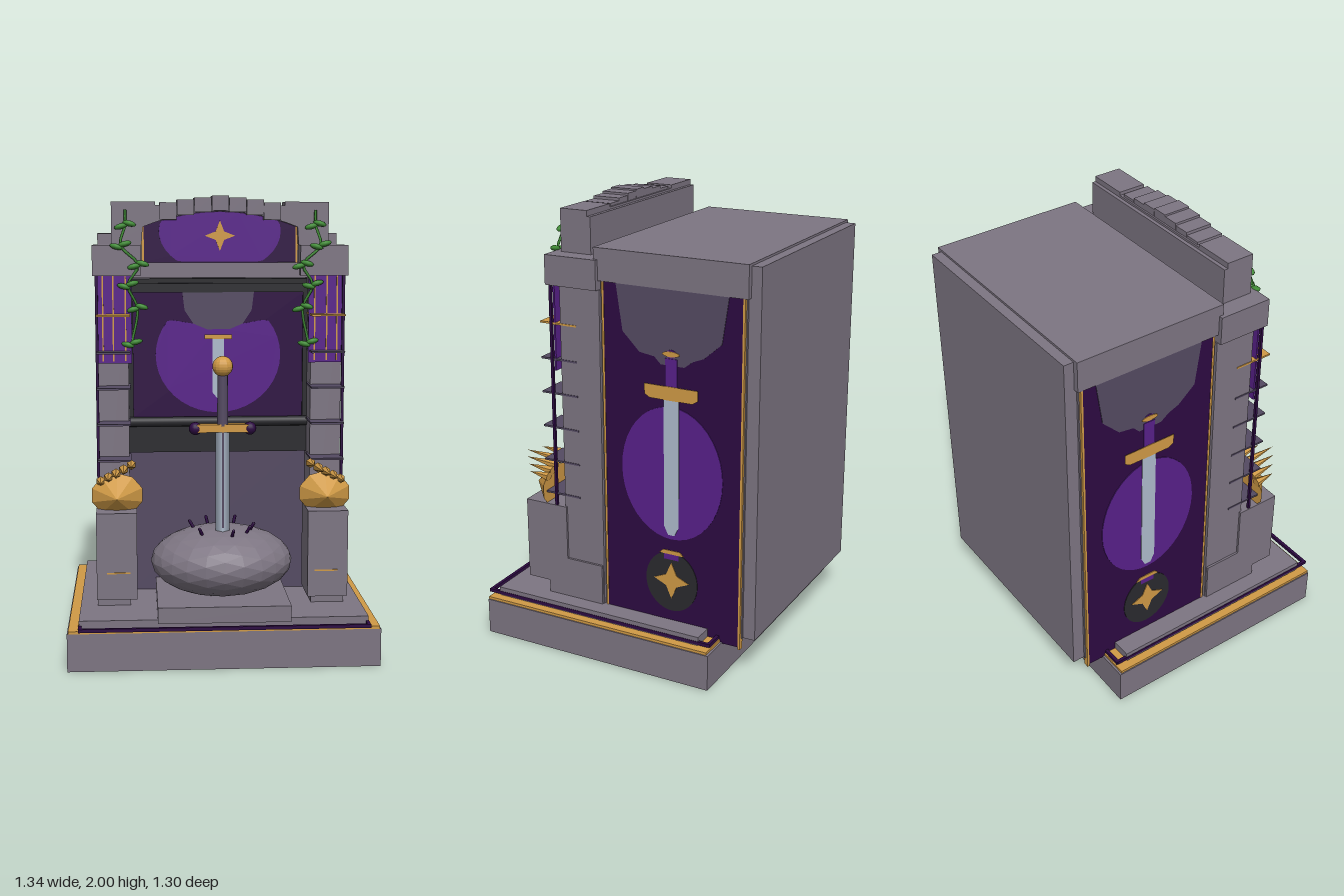
import * as THREE from 'three';

const mat = (name, color, extra = {}) => Object.assign(new THREE.MeshStandardMaterial({ color, ...extra }), { name });

export function createModel() {
  const stone = mat('stone', 0x7d7582, { flatShading: true });
  const slate = mat('slate', 0x544a62);
  const black = mat('black', 0x2a2a2e);
  const gold = mat('gold', 0xd09a46, { flatShading: true });
  const dark = mat('dark purple', 0x2d0a42);
  const purple = mat('purple', 0x58208a);
  const steel = mat('steel', 0xaebbcc);
  const green = mat('leaf green', 0x3f8a35);

  const root = new THREE.Group();
  root.name = 'swordShrineCabinet';
  const add = (name, geo, m, x = 0, y = 0, z = 0, parent = root) => {
    const mesh = new THREE.Mesh(geo, m);
    mesh.name = name;
    mesh.position.set(x, y, z);
    parent.add(mesh);
    return mesh;
  };
  // box given by its minimum and maximum on each axis
  const box = (name, m, x0, x1, y0, y1, z0, z1, parent = root) =>
    add(name, new THREE.BoxGeometry(x1 - x0, y1 - y0, z1 - z0), m, (x0 + x1) / 2, (y0 + y1) / 2, (z0 + z1) / 2, parent);
  const pair = (name, m, x0, x1, ...r) => {
    box(name + 'Left', m, x0, x1, ...r);
    box(name + 'Right', m, -x1, -x0, ...r);
  };
  // thin painted plate facing local +z, stacked by layer
  const plate = (name, m, pts, layer, parent) => {
    const shape = new THREE.Shape(pts.map(p => new THREE.Vector2(p[0], p[1])));
    return add(name, new THREE.ExtrudeGeometry(shape, { depth: 0.003, bevelEnabled: false }), m, 0, 0, layer * 0.003, parent);
  };
  const rect = (x0, x1, y0, y1) => [[x0, y0], [x1, y0], [x1, y1], [x0, y1]];
  const oval = (cx, cy, rx, ry, n = 40) => Array.from({ length: n }, (_, i) => {
    const a = i / n * Math.PI * 2;
    return [cx + rx * Math.cos(a), cy + ry * Math.sin(a)];
  });
  const star = (cx, cy, r, inner) => Array.from({ length: 8 }, (_, i) => {
    const a = i * Math.PI / 4, q = i % 2 ? inner : r;
    return [cx + q * Math.cos(a), cy + q * Math.sin(a)];
  });
  const tube = (pts, r) => new THREE.TubeGeometry(new THREE.CatmullRomCurve3(pts.map(p => new THREE.Vector3(...p))), 24, r, 6);

  // base, trims and step
  box('base', stone, -0.67, 0.67, 0, 0.165, -0.51, 0.62);
  pair('baseTrim', gold, 0.625, 0.665, 0.165, 0.177, -0.5, 0.62);
  box('frontBaseTrim', gold, -0.665, 0.665, 0.165, 0.176, 0.585, 0.62);
  box('backBaseTrim', gold, -0.625, 0.625, 0.165, 0.176, -0.5, -0.44);
  pair('sideGlow', dark, 0.608, 0.622, 0.178, 0.193, -0.49, 0.645);
  box('frontGlow', dark, -0.62, 0.62, 0.178, 0.193, 0.63, 0.645);
  box('backGlow', dark, -0.62, 0.62, 0.178, 0.193, -0.495, -0.48);
  box('step', stone, -0.62, 0.62, 0.165, 0.213, -0.44, 0.59);
  box('rockPlinth', stone, -0.285, 0.285, 0.2, 0.27, 0.1, 0.61);

  // cabinet
  box('cabinet', stone, -0.52, 0.52, 0.2, 1.72, -0.6, 0.075);
  box('cabinetTop', stone, -0.535, 0.535, 1.7, 1.84, -0.61, 0.1);
  box('backPanel', stone, -0.51, 0.51, 0.2, 1.83, -0.655, -0.59);
  box('alcoveWall', slate, -0.41, 0.41, 0.2, 0.9, 0.07, 0.105);

  // painted side panels
  for (const s of [1, -1]) {
    const side = new THREE.Group();
    side.name = s > 0 ? 'sidePanelLeft' : 'sidePanelRight';
    side.position.set(s * 0.53, 0, -0.265);
    side.rotation.y = s * Math.PI / 2;
    root.add(side);
    box('panelBoard', dark, -0.32, 0.32, 0.16, 1.7, -0.03, 0, side);
    for (const e of [-1, 1]) box('panelEdge', gold, Math.min(e * 0.32, e * 0.33), Math.max(e * 0.32, e * 0.33), 0.15, 1.7, -0.025, 0.002, side);
    plate('panelCloud', slate, [[-0.26, 1.7], [-0.23, 1.5], [-0.15, 1.42], [-0.08, 1.41], [-0.05, 1.38], [0.06, 1.38], [0.1, 1.41], [0.15, 1.43], [0.23, 1.5], [0.26, 1.7]].reverse(), 0, side);
    plate('panelHalo', purple, oval(0, 0.9, 0.24, 0.3), 0, side);
    plate('panelBlade', steel, [[-0.035, 0.66], [-0.015, 0.62], [0.015, 0.62], [0.035, 0.66], [0.035, 1.24], [-0.035, 1.24]], 1, side);
    plate('panelGuard', gold, [[-0.125, 1.245], [-0.1, 1.23], [0.1, 1.23], [0.125, 1.245], [0.125, 1.29], [-0.125, 1.29]], 2, side);
    plate('panelGrip', purple, rect(-0.028, 0.028, 1.29, 1.41), 1, side);
    plate('panelPommel', gold, oval(0, 1.43, 0.04, 0.012, 16), 2, side);
    plate('panelGem', purple, oval(0, 1.43, 0.025, 0.018, 16), 1, side);
    plate('medallion', black, oval(0, 0.4, 0.125, 0.14), 0, side);
    plate('medallionStar', gold, star(0, 0.405, 0.085, 0.037), 1, side);
    plate('medallionCrest', gold, [[-0.06, 0.53], [0.06, 0.53], [0.04, 0.548], [-0.04, 0.548]], 1, side);
    plate('medallionCap', purple, rect(-0.035, 0.035, 0.505, 0.53), 1, side);
  }

  // screen and its frame
  box('screenFrame', black, -0.4, 0.4, 0.96, 1.64, 0.07, 0.135);
  box('frameTop', black, -0.385, 0.385, 1.58, 1.62, 0.1, 0.15);
  pair('frameSide', black, 0.38, 0.4, 1.0, 1.6, 0.1, 0.15);
  const bar = add('frameBottom', new THREE.CylinderGeometry(0.022, 0.022, 0.8, 12), black, 0, 1.0, 0.15);
  bar.rotation.z = Math.PI / 2;
  box('lowerPanel', black, -0.4, 0.4, 0.86, 0.98, 0.09, 0.145);
  const screen = new THREE.Group();
  screen.name = 'screen';
  screen.position.z = 0.136;
  root.add(screen);
  plate('screenField', dark, rect(-0.38, 0.38, 1.02, 1.58), 0, screen);
  plate('screenHalo', purple, oval(0, 1.3, 0.28, 0.26).map(([x, y]) => [x, Math.min(y, 1.42 + 0.18 * Math.abs(x))]), 1, screen);
  plate('screenCloud', slate, [[-0.16, 1.58], [-0.15, 1.5], [-0.11, 1.44], [-0.05, 1.415], [0.05, 1.415], [0.11, 1.44], [0.15, 1.5], [0.16, 1.58]], 2, screen);
  plate('screenBlade', steel, [[-0.025, 1.13], [0, 1.1], [0.025, 1.13], [0.025, 1.38], [-0.025, 1.38]], 3, screen);
  plate('screenGuard', gold, rect(-0.062, 0.062, 1.372, 1.392), 4, screen);

  // lintel and arched pediment
  box('lintel', stone, -0.4, 0.4, 1.65, 1.715, 0.15, 0.3);
  const archY = x => 1.935 - 0.6 * x * x;
  const xs = Array.from({ length: 15 }, (_, i) => -0.335 + 0.67 * i / 14);
  box('pedimentBack', stone, -0.47, 0.47, 1.715, 1.95, 0.15, 0.255);
  const tympanum = new THREE.Group();
  tympanum.name = 'tympanum';
  tympanum.position.z = 0.256;
  root.add(tympanum);
  plate('tympanumField', dark, [[-0.335, 1.715], [0.335, 1.715], ...xs.map(x => [x, archY(x)]).reverse()], 0, tympanum);
  plate('tympanumHalo', purple, oval(0, 1.85, 0.265, 0.18).map(([x, y]) => [x, Math.max(1.718, Math.min(y, archY(x) - 0.004))]), 1, tympanum);
  plate('tympanumStar', gold, star(0, 1.83, 0.066, 0.026), 2, tympanum);
  for (const s of [-1, 1]) plate('tympanumEdge', gold, rect(s * 0.335 - 0.005, s * 0.335 + 0.005, 1.715, 1.87), 2, tympanum);
  const ring = new THREE.Shape([[-0.47, 1.79], [-0.34, 1.79], ...xs.map(x => [x, archY(x)]), [0.34, 1.79], [0.47, 1.79],
    [0.47, 1.975], [0.28, 1.975], [0.28, 1.96], [-0.28, 1.96], [-0.28, 1.975], [-0.47, 1.975]].map(p => new THREE.Vector2(...p)));
  add('archFace', new THREE.ExtrudeGeometry(ring, { depth: 0.13, bevelEnabled: false }), stone, 0, 0, 0.167);
  // stepped arch stones
  [2.0, 1.993, 1.984, 1.972].forEach((top, i) => {
    const c = i * 0.075;
    for (const s of i ? [-1, 1] : [1]) box('archStone', stone, s * c - 0.0365, s * c + 0.0365, archY(c + 0.036) + 0.004, top, 0.175, 0.304);
  });

  // columns
  pair('column', stone, 0.4, 0.535, 0.2, 1.66, 0.075, 0.27);
  pair('columnBase', stone, 0.4, 0.545, 0.2, 0.4, 0.08, 0.36);
  pair('columnPedestal', stone, 0.37, 0.545, 0.27, 0.65, 0.26, 0.47);
  pair('capital', stone, 0.345, 0.553, 1.66, 1.79, 0.08, 0.33);
  pair('pedestalInlay', gold, 0.4, 0.5, 0.384, 0.39, 0.46, 0.473);
  [1.49, 1.33, 1.175, 1.018, 0.86, 0.705].forEach((y, i) =>
    pair('columnLedge', i ? slate : gold, 0.392, 0.538, y - 0.004, y + 0.004, 0.19, 0.37));
  pair('columnCord', dark, 0.53, 0.542, 0.42, 1.66, 0.308, 0.32);
  pair('banner', purple, 0.385, 0.535, 1.28, 1.66, 0.295, 0.303);
  for (const x of [0.412, 0.465, 0.51]) pair('bannerStripe', gold, x - 0.003, x + 0.003, 1.29, 1.66, 0.303, 0.306);

  for (const s of [-1, 1]) {
    // faceted creature heads with a fan of horns
    const head = new THREE.Group();
    head.name = s > 0 ? 'guardianHeadLeft' : 'guardianHeadRight';
    root.add(head);
    const face = add('face', new THREE.ConeGeometry(0.115, 0.1, 10), gold, s * 0.455, 0.71, 0.415, head);
    face.rotation.x = Math.PI / 2;
    face.scale.z = 0.85;
    for (let i = 0; i < 5; i++) {
      const len = [0.1, 0.13, 0.16, 0.18, 0.12][i];
      const horn = add('horn', new THREE.ConeGeometry(0.022, len, 6), gold, s * (0.525 - i * 0.033), 0.775 + i * 0.018, 0.36 + len / 2, head);
      horn.rotation.x = Math.PI / 2 - 0.08;
    }
    // hanging vine
    const stops = [[0.41, 1.94, 0.315], [0.41, 1.876, 0.32], [0.43, 1.79, 0.34], [0.355, 1.706, 0.335], [0.4, 1.62, 0.32], [0.36, 1.52, 0.3], [0.385, 1.367, 0.3]]
      .map(([x, y, z]) => [s * x, y, z]);
    add('vineStem', tube(stops, 0.006), green);
    stops.slice(1).forEach(([x, y, z], i) => {
      for (const d of [-1, 1]) {
        const leaf = add('vineLeaf', new THREE.SphereGeometry(0.03, 8, 6), green, x + d * 0.018, y + d * 0.006, z);
        leaf.scale.set(1, 0.42, 0.6);
        leaf.rotation.z = d * 0.25 * (i % 2 ? 1 : -1);
      }
    });
  }

  // boulder with glowing cracks around the blade
  const rock = add('boulder', new THREE.IcosahedronGeometry(1, 3), stone, 0, 0.42, 0.375);
  rock.scale.set(0.31, 0.155, 0.26);
  for (const [x, z] of [[-0.13, 0.35], [-0.095, 0.48], [-0.06, 0.3], [0.04, 0.51], [0.13, 0.41], [0.11, 0.46], [0.06, 0.31]]) {
    const y = 0.42 + 0.155 * Math.sqrt(1 - (x / 0.31) ** 2 - ((z - 0.375) / 0.26) ** 2);
    const crack = add('crack', new THREE.CapsuleGeometry(0.007, 0.035, 3, 6), dark, x, y + 0.012, z);
    crack.rotation.set((z - 0.375) * 4, 0, -x * 4);
  }

  // sword
  const sword = new THREE.Group();
  sword.name = 'sword';
  sword.position.z = 0.45;
  root.add(sword);
  const blade = add('blade', new THREE.CylinderGeometry(0.03, 0.03, 0.48, 4), steel, 0, 0.77, 0, sword);
  blade.scale.z = 0.5;
  box('fuller', slate, -0.004, 0.004, 0.58, 1.0, -0.017, 0.017, sword);
  box('guard', gold, -0.11, 0.11, 0.998, 1.032, -0.022, 0.022, sword);
  for (const s of [-1, 1]) add('guardGem', new THREE.SphereGeometry(0.028, 14, 10), dark, s * 0.117, 1.013, 0, sword);
  add('grip', new THREE.CylinderGeometry(0.022, 0.024, 0.23, 12), slate, 0, 1.14, 0, sword);
  add('pommel', new THREE.SphereGeometry(0.044, 16, 12), gold, 0, 1.28, 0, sword);
  return root;
}
